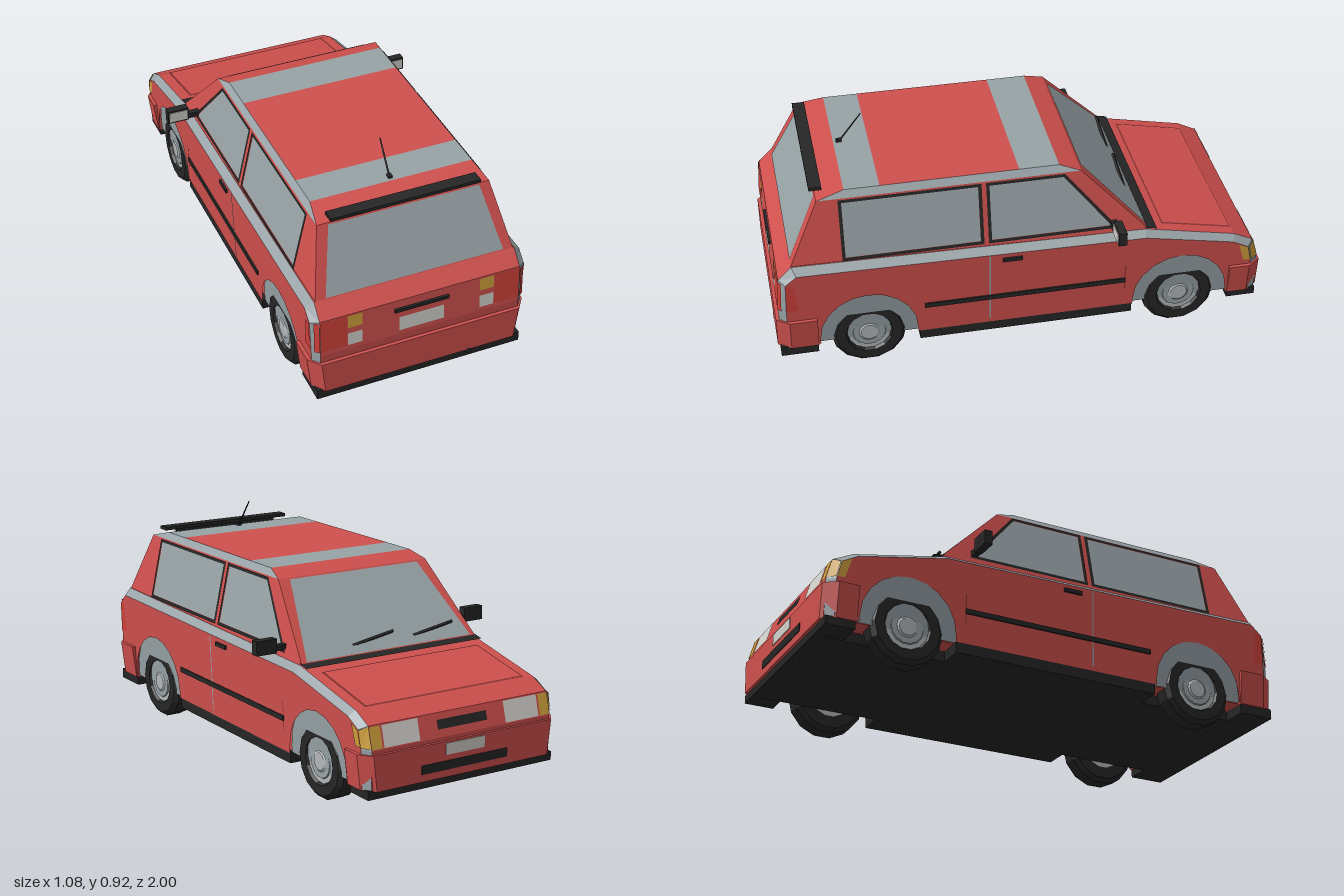
import * as THREE from 'three';

const mat = (name, color) => {
  const m = new THREE.MeshStandardMaterial({ color, flatShading: true, side: THREE.DoubleSide });
  m.name = name;
  return m;
};

export function createModel() {
  const car = new THREE.Group();
  car.name = 'hatchback';
  const red = mat('body red', 0xcf504d), grey = mat('glass grey', 0x98a3a7), black = mat('trim black', 0x262626),
    white = mat('lamp white', 0xd2d1cb), amber = mat('amber', 0xd0a03c), tailRed = mat('tail lamp red', 0xd2413a),
    rimMat = mat('rim grey', 0xb2b7b9), shadowRed = mat('seam red', 0x8c3533);

  const add = (name, geo, material) => {
    const mesh = new THREE.Mesh(geo, material);
    mesh.name = name;
    car.add(mesh);
    return mesh;
  };
  const box = (name, m, w, h, d, x, y, z) => {
    const b = add(name, new THREE.BoxGeometry(w, h, d), m);
    b.position.set(x, y, z);
    return b;
  };
  // Convex polygon, wound so that it faces away from the car's middle
  const poly = (name, m, pts) => {
    const v = pts.map(p => new THREE.Vector3(...p)), out = [];
    for (let i = 1; i < v.length - 1; i++) {
      const t = [v[0], v[i], v[i + 1]];
      const n = t[1].clone().sub(t[0]).cross(t[2].clone().sub(t[0]));
      if (n.dot(t[0].clone().sub(new THREE.Vector3(0, 0.35, 0))) < 0) t.reverse();
      t.forEach(p => out.push(p.x, p.y, p.z));
    }
    const g = new THREE.BufferGeometry();
    g.setAttribute('position', new THREE.Float32BufferAttribute(out, 3));
    g.computeVertexNormals();
    return add(name, g, m);
  };
  const polyPair = (name, m, pts) => [1, -1].forEach(s => poly(name, m, pts.map(([x, y, z]) => [s * x, y, z])));
  const shapeOf = (pts, hole) => {
    const s = new THREE.Shape(pts.map(p => new THREE.Vector2(...p)));
    if (hole) s.holes.push(new THREE.Path(hole.map(p => new THREE.Vector2(...p))));
    return s;
  };
  // Flat outline in (z, y) laid on both flanks, with x given by height
  const flank = (name, m, shape, xOf) => [1, -1].forEach(s => {
    const g = new THREE.ShapeGeometry(shape), p = g.attributes.position, ix = g.index.array;
    for (let i = 0; i < p.count; i++) p.setXYZ(i, s * xOf(p.getY(i)), p.getY(i), p.getX(i));
    if (s > 0) ix.reverse();
    g.computeVertexNormals();
    add(name, g, m);
  });
  const rect = (z0, z1, y0, y1) => [[z0, y0], [z1, y0], [z1, y1], [z0, y1]];
  // Rectangle across the car on a sloped face, with z given by height
  const across = (name, m, x0, x1, y0, y1, zOf) =>
    poly(name, m, [[x0, y0, zOf(y0)], [x1, y0, zOf(y0)], [x1, y1, zOf(y1)], [x0, y1, zOf(y1)]]);

  // Lower body: full-length core, grey shoulder chamfers and red flank panels
  const outer = [[0.975, 0.13], [0.985, 0.3], [0.975, 0.46], [0.92, 0.515], [-0.5, 0.49], [-0.88, 0.41], [-0.96, 0.37], [-0.985, 0.28], [-0.985, 0.13]];
  const inner = [[0.95, 0.13], [0.955, 0.3], [0.95, 0.45], [0.905, 0.488], [-0.5, 0.467], [-0.87, 0.39], [-0.935, 0.355], [-0.952, 0.28], [-0.952, 0.13]];
  const flankX = y => 0.435 + (y - 0.13) * 0.035;
  const core = new THREE.ExtrudeGeometry(shapeOf(outer), { depth: 0.83, bevelEnabled: false });
  core.translate(0, 0, -0.415).rotateY(-Math.PI / 2).scale(1, 1, 1);
  add('bodyCore', core, red);
  for (let i = 0; i < outer.length - 1; i++) {
    const [a, b, c, d] = [outer[i], outer[i + 1], inner[i + 1], inner[i]];
    polyPair('bodyChamfer', grey, [[0.415, a[1], a[0]], [0.415, b[1], b[0]], [flankX(c[1]), c[1], c[0]], [flankX(d[1]), d[1], d[0]]]);
  }
  const axles = [0.63, -0.655];
  const arch = (z, r) => {
    const pts = [[z - r, 0.13]];
    for (let i = 0; i <= 10; i++) {
      const a = Math.PI * (1 - i / 10);
      pts.push([z + r * Math.cos(a), 0.155 + r * Math.sin(a)]);
    }
    return [...pts, [z + r, 0.13]];
  };
  flank('flankPanel', red, shapeOf([...inner, ...arch(axles[1], 0.197), ...arch(axles[0], 0.197)]), flankX);
  for (const z of axles) flank('wheelWell', grey, shapeOf(arch(z, 0.205)), y => 0.421 + (y - 0.13) * 0.08);

  // Cabin: three stacked rectangular rings
  const rings = [[0.4155, 0.49, -0.515, 0.932], [0.354, 0.77, -0.245, 0.8], [0.335, 0.797, -0.16, 0.69]];
  for (let i = 0; i < 2; i++) {
    const [x0, y0, f0, r0] = rings[i], [x1, y1, f1, r1] = rings[i + 1];
    polyPair(i ? 'roofEdge' : 'cabinSide', i ? grey : red, [[x0, y0, f0], [x0, y0, r0], [x1, y1, r1], [x1, y1, f1]]);
    for (const [a, b] of [[f0, f1], [r0, r1]])
      poly('cabinEnd', red, [[-x0, y0, a], [x0, y0, a], [x1, y1, b], [-x1, y1, b]]);
  }
  for (const [z0, z1, m] of [[-0.16, 0, grey], [0, 0.55, red], [0.55, 0.69, grey]])
    poly('roof', m, [[-0.335, 0.797, z0], [0.335, 0.797, z0], [0.335, 0.797, z1], [-0.335, 0.797, z1]]);

  // Glass
  const cabX = y => 0.4155 - (y - 0.49) * 0.2196;
  const windows = [
    [rect(0.155, 0.718, 0.513, 0.766), rect(0.169, 0.705, 0.526, 0.754)],
    [[[-0.39, 0.513], [0.137, 0.513], [0.137, 0.766], [-0.178, 0.766]], [[-0.362, 0.526], [0.124, 0.526], [0.124, 0.754], [-0.173, 0.754]]],
  ];
  for (const [edge, pane] of windows) {
    flank('windowFrame', black, shapeOf(edge, pane), y => cabX(y) + 0.004);
    flank('sideWindow', grey, shapeOf(pane), y => cabX(y) + 0.002);
  }
  const screenZ = y => -0.515 + (y - 0.49) * 0.964 - 0.004, backZ = y => 0.932 - (y - 0.49) * 0.4714 + 0.003;
  poly('windscreen', grey, [[-0.39, 0.5, screenZ(0.5)], [0.39, 0.5, screenZ(0.5)], [0.305, 0.765, screenZ(0.765)], [-0.305, 0.765, screenZ(0.765)]]);
  poly('rearWindow', grey, [[-0.368, 0.52, backZ(0.52)], [0.368, 0.52, backZ(0.52)], [0.31, 0.765, backZ(0.765)], [-0.31, 0.765, backZ(0.765)]]);

  // Bonnet lid with its seam, cowl and wipers
  const hoodY = z => 0.49 + (z + 0.5) * 0.2105;
  const lid = (name, m, x, z0, z1, h) => poly(name, m, [[-x, hoodY(z0) + h, z0], [x, hoodY(z0) + h, z0], [x, hoodY(z1) + h, z1], [-x, hoodY(z1) + h, z1]]);
  lid('bonnetSeam', shadowRed, 0.372, -0.876, -0.581, 0.002);
  lid('bonnetLid', red, 0.366, -0.87, -0.587, 0.005);
  lid('cowl', black, 0.418, -0.55, -0.503, 0.008);
  for (const x of [-0.2, 0.09]) {
    const w = box('wiper', black, 0.245, 0.01, 0.01, x, 0.538, -0.478);
    w.rotation.set(0.75, -0.12, -0.12);
  }

  // Bumpers, with chamfered corners and narrowing downwards
  const bumper = (name, start, turn) => {
    const g = new THREE.ExtrudeGeometry(shapeOf([[-0.455, start], [0.455, start], [0.455, 0.945], [0.415, 0.997], [-0.415, 0.997], [-0.455, 0.945]]),
      { depth: 0.14, bevelEnabled: false });
    g.rotateX(Math.PI / 2).translate(0, 0.265, 0);
    const p = g.attributes.position;
    for (let i = 0; i < p.count; i++) if (p.getY(i) < 0.2) p.setX(i, p.getX(i) * 0.962);
    g.rotateY(turn);
    g.computeVertexNormals();
    add(name, g, red);
  };
  bumper('rearBumper', 0.835, 0);
  bumper('frontBumper', 0.862, Math.PI);

  // Black floor, sills and valances
  box('floor', black, 0.66, 0.045, 1.9, 0, 0.11, 0);
  box('sill', black, 0.865, 0.045, 0.88, 0, 0.11, -0.015);
  box('rearValance', black, 0.86, 0.042, 0.15, 0, 0.108, 0.912);
  box('frontValance', black, 0.86, 0.035, 0.12, 0, 0.112, -0.925);
  const pipe = add('exhaust', new THREE.CylinderGeometry(0.013, 0.013, 0.07, 8), black);
  pipe.rotation.x = Math.PI / 2;
  pipe.position.set(0.205, 0.118, 0.963);

  // Wheels
  const tyreProfile = [[0.085, 0], [0.135, 0], [0.152, 0.018], [0.152, 0.078], [0.135, 0.096], [0.095, 0.096], [0.085, 0.08]];
  for (const z of axles) for (const s of [1, -1]) {
    const wheel = new THREE.Group();
    wheel.name = 'wheel';
    const part = (name, g, m, y) => {
      const mesh = new THREE.Mesh(g, m);
      mesh.name = name;
      mesh.position.y = y;
      wheel.add(mesh);
    };
    part('tyre', new THREE.LatheGeometry(tyreProfile.map(p => new THREE.Vector2(...p)), 14), black, 0);
    part('rim', new THREE.CylinderGeometry(0.094, 0.094, 0.08, 14), rimMat, 0.045);
    part('rimRing', new THREE.CylinderGeometry(0.066, 0.07, 0.006, 14), grey, 0.087);
    part('hubCap', new THREE.CylinderGeometry(0.035, 0.05, 0.01, 14), rimMat, 0.09);
    wheel.rotation.z = -s * Math.PI / 2;
    wheel.position.set(s * 0.335, 0.152, z);
    car.add(wheel);
  }

  // Tail: lamps, plate and handle
  const tailZ = y => 0.985 - (y - 0.3) * 0.0625 + 0.003;
  for (const s of [1, -1]) {
    across('tailLamp', tailRed, s * 0.308, s * 0.415, 0.32, 0.457, tailZ);
    across('rearIndicator', amber, s * 0.245, s * 0.304, 0.4, 0.455, tailZ);
    across('reverseLamp', white, s * 0.245, s * 0.304, 0.32, 0.375, tailZ);
  }
  polyPair('tailLampCorner', tailRed, [[0.418, 0.32, 0.988], [0.436, 0.32, 0.973], [0.436, 0.455, 0.966], [0.418, 0.455, 0.978]]);
  flank('tailLampSide', tailRed, shapeOf([[0.905, 0.32], [0.953, 0.32], [0.949, 0.447], [0.92, 0.447]]), y => flankX(y) + 0.003);
  across('rearPlate', white, -0.093, 0.093, 0.32, 0.382, tailZ);
  box('tailgateHandle', black, 0.225, 0.014, 0.012, 0, 0.418, 0.981);

  // Nose: headlamps, indicators, grille and plate
  const noseZ = y => -0.96 - (0.37 - y) * 0.278 - 0.003;
  for (const s of [1, -1]) {
    across('headlamp', white, s * 0.2, s * 0.36, 0.285, 0.366, noseZ);
    across('frontIndicator', amber, s * 0.368, s * 0.415, 0.285, 0.366, noseZ);
  }
  polyPair('indicatorCorner', amber, [[0.418, 0.368, -0.964], [0.446, 0.354, -0.939], [0.444, 0.288, -0.954], [0.418, 0.288, -0.986]]);
  flank('indicatorSide', amber, shapeOf([[-0.95, 0.29], [-0.92, 0.29], [-0.895, 0.372], [-0.934, 0.354]]), y => flankX(y) + 0.003);
  across('grille', black, -0.115, 0.115, 0.31, 0.345, noseZ);
  box('frontPlate', white, 0.18, 0.045, 0.004, 0, 0.235, -0.998);
  box('lowerGrille', black, 0.4, 0.035, 0.004, 0, 0.172, -0.998);

  // Flank details
  flank('doorSeam', grey, shapeOf(rect(0.136, 0.142, 0.15, 0.475)), y => flankX(y) + 0.002);
  flank('doorFrontSeam', shadowRed, shapeOf(rect(-0.422, -0.417, 0.215, 0.335)), y => flankX(y) + 0.002);
  for (const s of [1, -1]) {
    box('rubStrip', black, 0.008, 0.02, 0.825, s * 0.442, 0.263, -0.008);
    box('doorHandle', black, 0.014, 0.016, 0.078, s * 0.448, 0.449, 0.048);
    // Door mirror
    box('mirrorArm', black, 0.07, 0.022, 0.026, s * 0.43, 0.535, -0.37);
    box('mirrorShell', black, 0.09, 0.058, 0.034, s * 0.497, 0.547, -0.375);
    box('mirrorGlass', white, 0.078, 0.044, 0.004, s * 0.497, 0.547, -0.357);
  }

  // Roof spoiler and aerial
  box('spoiler', black, 0.615, 0.014, 0.05, 0, 0.795, 0.797);
  box('spoilerFoot', black, 0.5, 0.03, 0.012, 0, 0.78, 0.785);
  const aerial = add('aerial', new THREE.CylinderGeometry(0.0025, 0.004, 0.152, 6), black);
  aerial.position.set(0, 0.857, 0.62);
  aerial.rotation.x = -Math.atan2(0.09, 0.118);
  box('aerialBase', black, 0.016, 0.012, 0.022, 0, 0.802, 0.667);
  return car;
}
